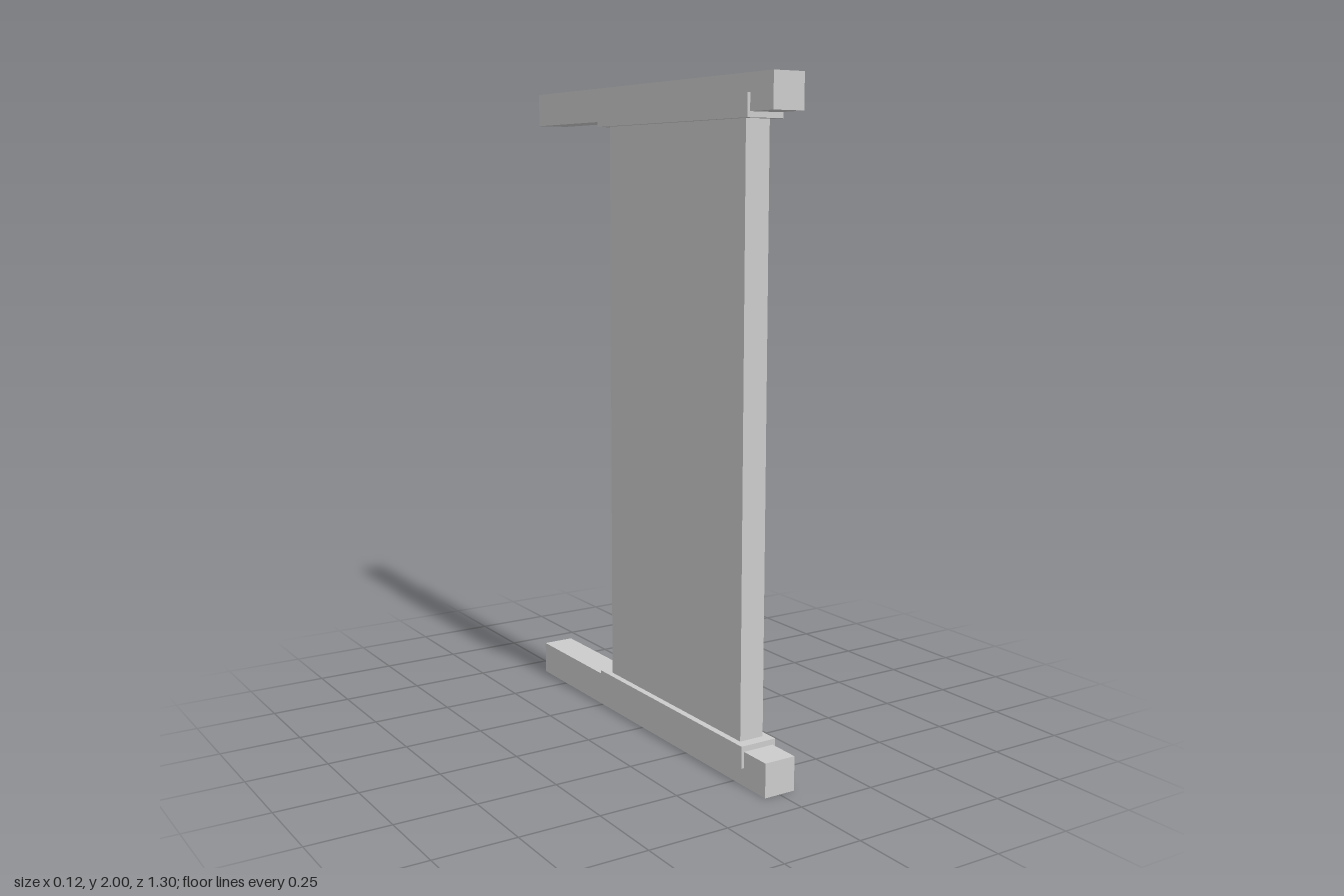
import * as THREE from 'three';

const material = new THREE.MeshStandardMaterial({ color: 0xcccccc, flatShading: true });

// Box given by its width in x and its extents in y and z
function box(name, width, [y0, y1], [z0, z1]) {
  const mesh = new THREE.Mesh(new THREE.BoxGeometry(width, y1 - y0, z1 - z0), material);
  mesh.name = name;
  mesh.position.set(0, (y0 + y1) / 2, (z0 + z1) / 2);
  return mesh;
}

export function createModel() {
  const model = new THREE.Group();
  model.name = 'panelFrame';

  // Upright slab, set towards the front of the rails
  model.add(box('uprightPanel', 0.08, [0.08, 1.92], [-0.206, 0.513]));

  // Long rails at the floor and at the top
  model.add(box('bottomRail', 0.102, [0, 0.103], [-0.65, 0.65]));
  model.add(box('topRail', 0.102, [1.898, 2], [-0.65, 0.65]));

  // Collars joining the panel to the rails
  model.add(box('bottomCollar', 0.12, [0.054, 0.12], [-0.247, 0.547]));
  model.add(box('topCollar', 0.12, [1.882, 1.948], [-0.247, 0.547]));

  return model;
}
